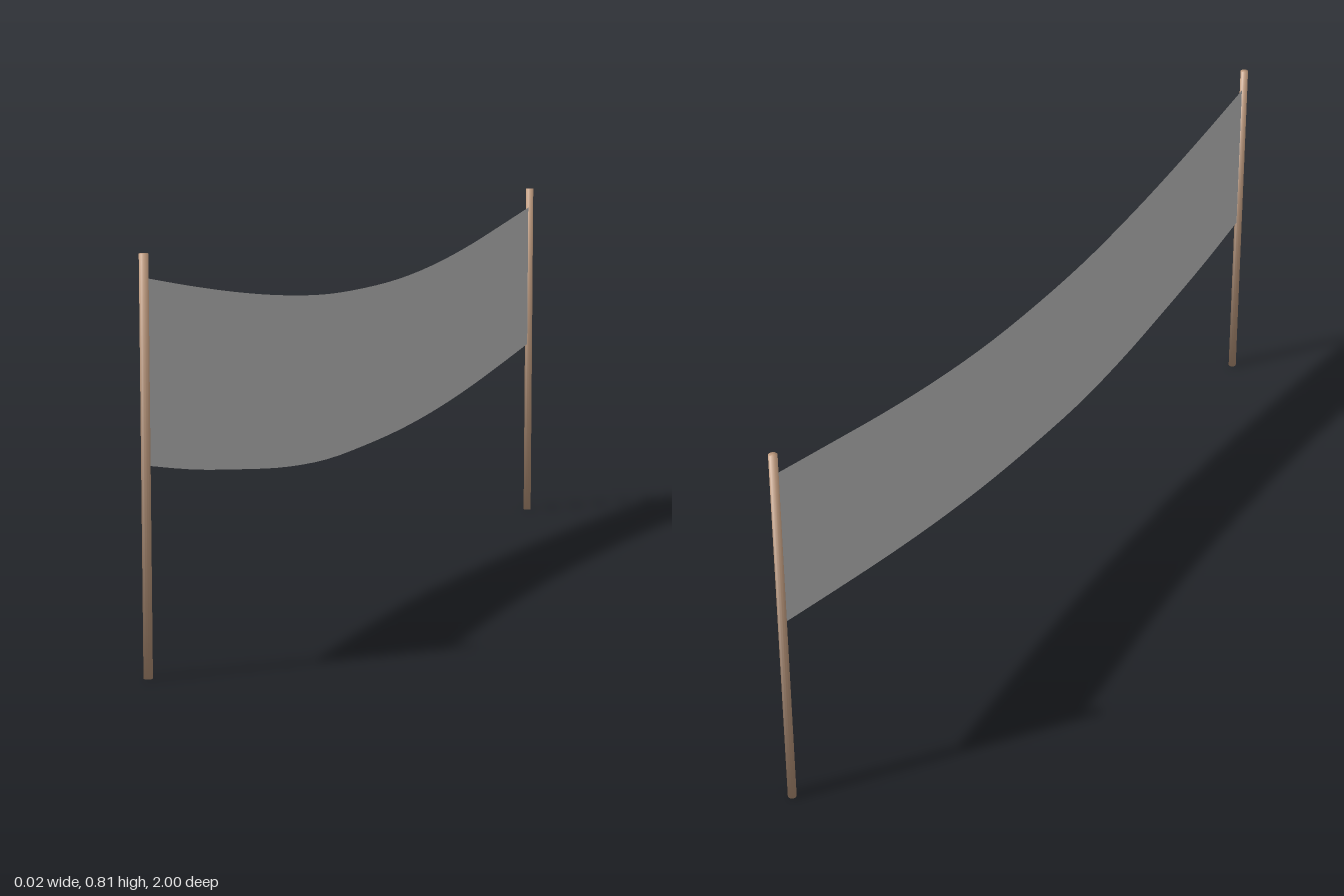
import * as THREE from 'three';
import { mergeVertices } from 'three/addons/utils/BufferGeometryUtils.js';

const POST_HEIGHT = 0.813, POST_RADIUS = 0.009, POST_Z = 0.991;

// Post with welded rims, so shading runs smoothly from the sides into the caps
function postGeometry() {
  let geo = new THREE.CylinderGeometry(POST_RADIUS, POST_RADIUS, POST_HEIGHT, 12);
  geo.deleteAttribute('normal');
  geo.deleteAttribute('uv');
  geo = mergeVertices(geo);
  const pos = geo.attributes.position;
  const normals = new THREE.BufferAttribute(new Float32Array(pos.count * 3), 3);
  const n = new THREE.Vector3();
  for (let i = 0; i < pos.count; i++) {
    n.set(pos.getX(i) / POST_RADIUS, Math.sign(pos.getY(i)), pos.getZ(i) / POST_RADIUS).normalize();
    normals.setXYZ(i, n.x, n.y, n.z);
  }
  geo.setAttribute('normal', normals);
  return geo.translate(0, POST_HEIGHT / 2, 0);
}

// Smooth edge of the cloth through [z, y] points
function edge(points) {
  return new THREE.SplineCurve(points.map(([z, y]) => new THREE.Vector2(z, y))).getPoints(32);
}

export function createModel() {
  const group = new THREE.Group();
  group.name = 'hangingBanner';

  const wood = new THREE.MeshStandardMaterial({ color: 0xbf9b7f });
  wood.name = 'wood';
  const cloth = new THREE.MeshStandardMaterial({ color: 0xc8c8c8, side: THREE.DoubleSide });
  cloth.name = 'greyCloth';

  // Two upright posts
  const postGeo = postGeometry();
  for (const [name, side] of [['frontPost', 1], ['backPost', -1]]) {
    const post = new THREE.Mesh(postGeo, wood);
    post.name = name;
    post.position.z = side * POST_Z;
    group.add(post);
  }

  // Sagging cloth stretched between the posts
  const top = edge([[-0.988, 0.767], [-0.8, 0.735], [-0.6, 0.702], [-0.4, 0.676], [-0.2, 0.66],
    [0, 0.656], [0.2, 0.661], [0.4, 0.678], [0.6, 0.703], [0.8, 0.734], [0.988, 0.767]]);
  const bottom = edge([[0.988, 0.411], [0.8, 0.375], [0.6, 0.345], [0.4, 0.319], [0.2, 0.305],
    [0, 0.307], [-0.2, 0.316], [-0.4, 0.334], [-0.6, 0.36], [-0.8, 0.392], [-0.988, 0.424]]);
  const clothGeo = new THREE.ShapeGeometry(new THREE.Shape([...top, ...bottom]));
  clothGeo.rotateY(-Math.PI / 2);
  const banner = new THREE.Mesh(clothGeo, cloth);
  banner.name = 'bannerCloth';
  group.add(banner);

  return group;
}
